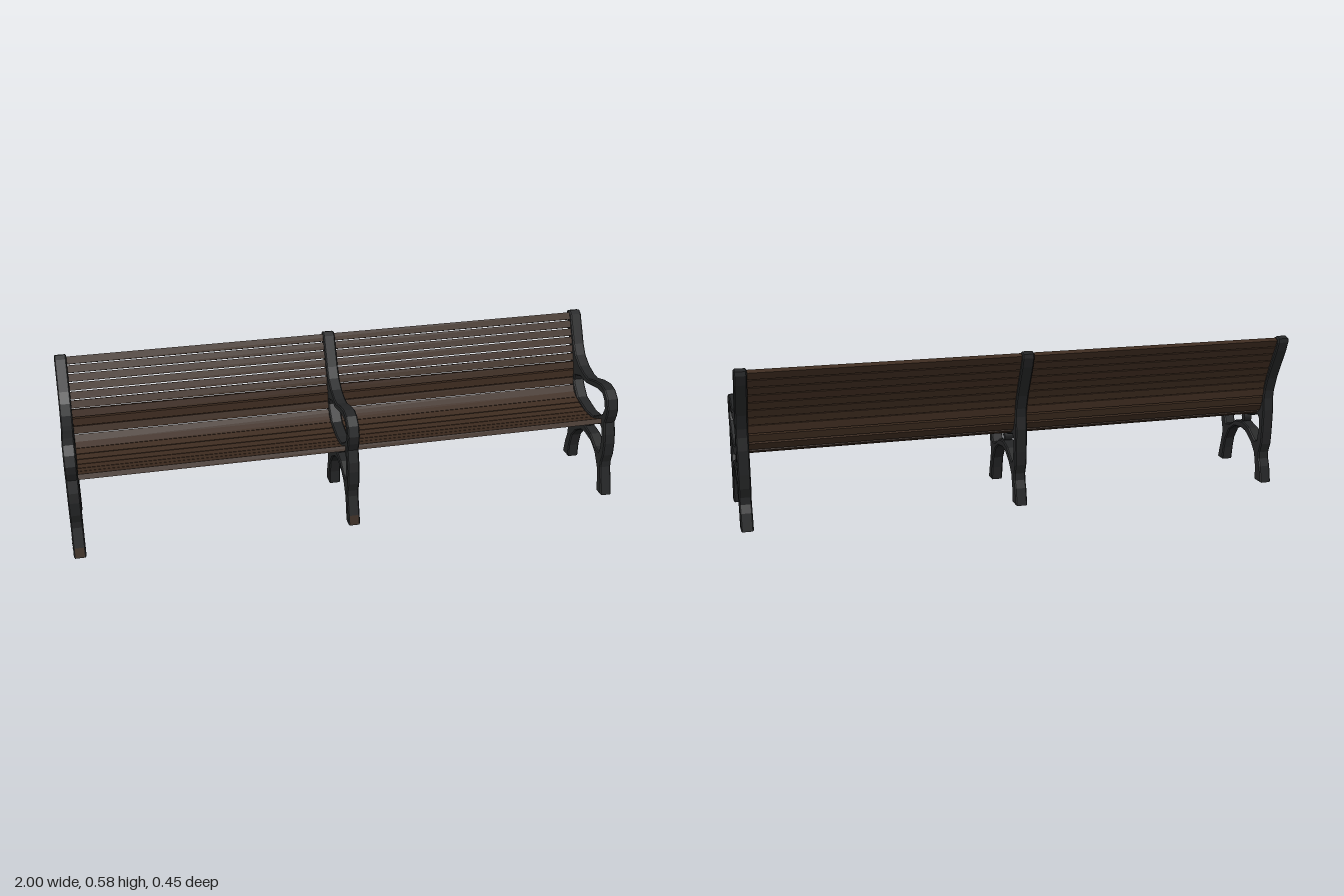
import * as THREE from 'three';

const iron = new THREE.MeshStandardMaterial({ color: 0x242526 });
iron.name = 'black iron';
const wood = new THREE.MeshStandardMaterial({ color: 0x3d2b1f });
wood.name = 'dark wood';
const rust = new THREE.MeshStandardMaterial({ color: 0x3a2b20, side: THREE.DoubleSide });
rust.name = 'rust';

const FRAME_W = 0.043;
const points = (list) => list.map(([z, y]) => new THREE.Vector2(z, y));

// Side profile of the cast frame, as (z, y)
const outline = [
  [0.227, 0], [0.198, 0.105], [0.198, 0.128], [0.209, 0.16], [0.212, 0.21], [0.207, 0.245],
  [0.195, 0.29], [0.207, 0.32], [0.212, 0.35], [0.201, 0.387], [0.17, 0.412], [0.133, 0.42],
  [0.08, 0.411], [0.02, 0.393], [-0.015, 0.394], [-0.066, 0.408], [-0.11, 0.434], [-0.136, 0.47],
  [-0.187, 0.573], [-0.205, 0.584], [-0.226, 0.577], [-0.227, 0.562], [-0.214, 0.528],
  [-0.157, 0.412], [-0.139, 0.361], [-0.136, 0.33], [-0.141, 0.285], [-0.139, 0.2],
  [-0.135, 0.15], [-0.122, 0.115], [-0.123, 0.09], [-0.135, 0.062], [-0.148, 0], [-0.096, 0],
  [-0.095, 0.05], [-0.081, 0.103], [-0.05, 0.138], [0, 0.167], [0.035, 0.172], [0.095, 0.164],
  [0.137, 0.138], [0.167, 0.093], [0.178, 0.05], [0.185, 0],
];
const armHole = [
  [0.182, 0.344], [0.176, 0.369], [0.153, 0.389], [0.103, 0.389], [0.05, 0.378], [0, 0.367],
  [-0.05, 0.371], [-0.1, 0.355], [-0.107, 0.333], [-0.093, 0.314], [-0.057, 0.28],
  [0.03, 0.264], [0.09, 0.269], [0.168, 0.314],
];
const legHole = [
  [0.159, 0.267], [0.09, 0.239], [0.01, 0.234], [-0.041, 0.242], [-0.096, 0.258], [-0.109, 0.242],
  [-0.11, 0.21], [-0.098, 0.157], [-0.082, 0.152], [-0.03, 0.187], [0.025, 0.2], [0.086, 0.191],
  [0.135, 0.162], [0.169, 0.157], [0.18, 0.184], [0.178, 0.225], [0.171, 0.258],
];

function frameGeometry() {
  const shape = new THREE.Shape(points(outline));
  shape.holes = [armHole, legHole].map((h) => new THREE.Path(points(h)));
  const bevel = 0.004;
  const geo = new THREE.ExtrudeGeometry(shape, {
    depth: FRAME_W - 2 * bevel, bevelEnabled: true, bevelSegments: 1,
    bevelThickness: bevel, bevelSize: bevel, bevelOffset: -bevel,
  });
  geo.translate(0, 0, bevel - FRAME_W / 2);
  return geo.rotateY(-Math.PI / 2);
}

function add(parent, name, geometry, material, x = 0, y = 0, z = 0) {
  const mesh = new THREE.Mesh(geometry, material);
  mesh.name = name;
  mesh.position.set(x, y, z);
  parent.add(mesh);
  return mesh;
}

export function createModel() {
  const bench = new THREE.Group();
  bench.name = 'bench';

  // Three cast frames, each with a small oval boss under the seat rail
  const frameGeo = frameGeometry();
  const bossGeo = new THREE.CylinderGeometry(1, 1, 0.03, 12).rotateZ(Math.PI / 2).scale(1, 0.019, 0.013);
  for (const x of [-0.978, 0, 0.978]) {
    const frame = new THREE.Group();
    frame.name = 'frame';
    frame.position.x = x;
    add(frame, 'ironFrame', frameGeo, iron);
    add(frame, 'ovalBoss', bossGeo, iron, 0, 0.218, 0.031);
    bench.add(frame);
  }

  // Worn patches on the front feet
  const patch = new THREE.ShapeGeometry(new THREE.Shape(points([
    [0.203, 0.077], [0.186, 0.07], [0.184, 0.04], [0.196, 0.022], [0.202, 0.028], [0.213, 0.03],
  ]))).rotateY(-Math.PI / 2);
  add(bench, 'sideRust', patch, rust, -0.978 - FRAME_W / 2 - 0.001);
  for (const x of [-0.978, 0]) {
    const plate = add(bench, 'toeRust', new THREE.PlaneGeometry(0.033, 0.034), rust, x, 0.019, 0.2228);
    plate.rotation.x = -Math.atan2(0.029, 0.105);
  }

  // Slats follow one curve from the seat front up to the top of the back
  const path = new THREE.CatmullRomCurve3([
    [0.172, 0.288], [0.1, 0.257], [0.03, 0.249], [-0.05, 0.261], [-0.1, 0.285],
    [-0.12, 0.33], [-0.128, 0.385], [-0.155, 0.455], [-0.211, 0.575],
  ].map(([z, y]) => new THREE.Vector3(0, y, z)));
  const count = 19;
  const pitch = path.getLength() / count;
  const slatGeo = new THREE.BoxGeometry(1.95, 0.019, pitch - 0.004);
  for (let i = 0; i < count; i++) {
    const u = (i + 0.5) / count;
    const p = path.getPointAt(u);
    const t = path.getTangentAt(u);
    const slat = add(bench, i < 9 ? 'seatSlat' : 'backSlat', slatGeo, wood, 0, p.y, p.z);
    // Keep the top face of the slat toward the sitter
    slat.rotation.x = Math.atan2(t.y, -t.z);
  }
  return bench;
}
